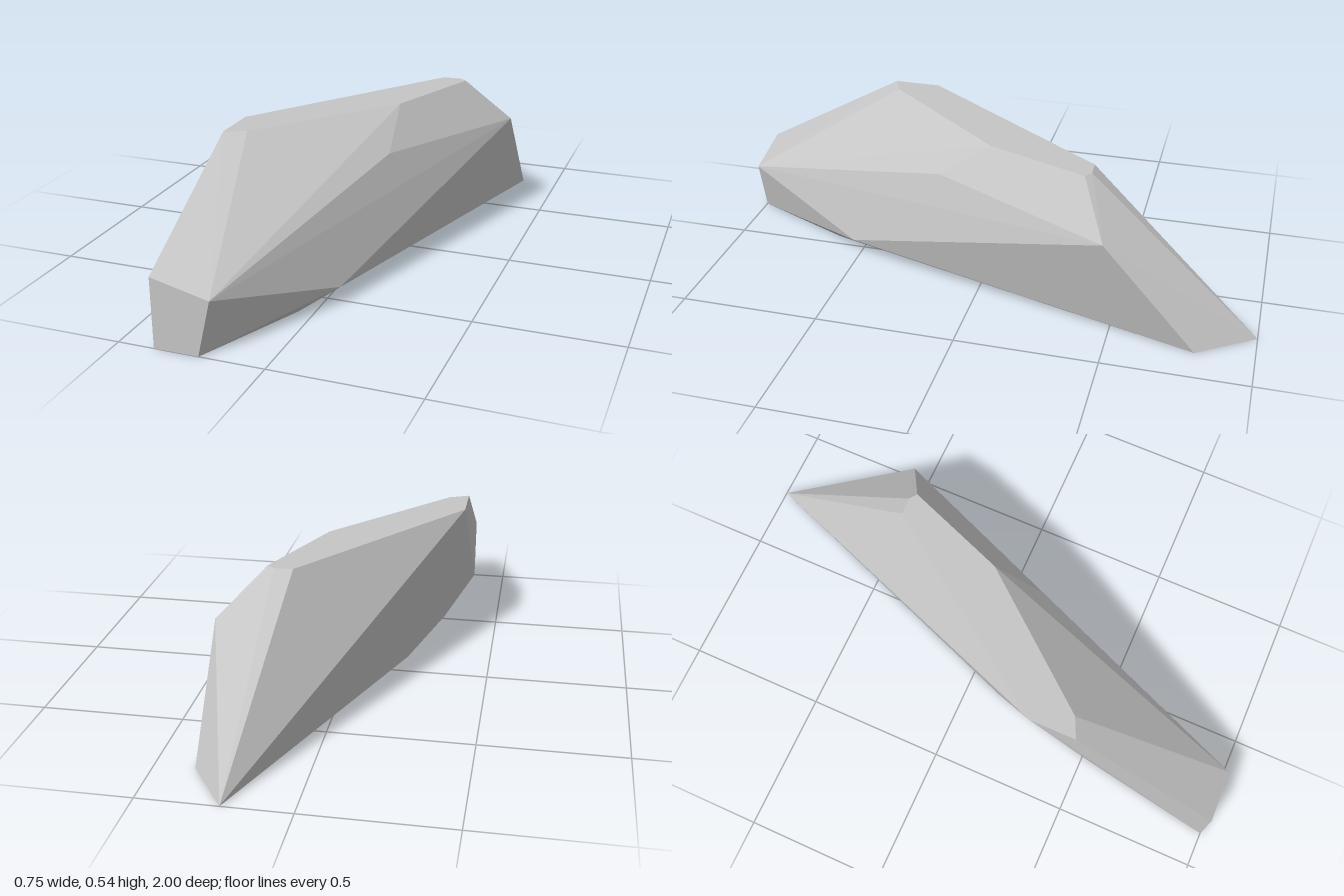
import * as THREE from 'three';
import { ConvexGeometry } from 'three/addons/geometries/ConvexGeometry.js';

export function createModel() {
  const group = new THREE.Group();
  group.name = 'rock';
  const stone = new THREE.MeshStandardMaterial({ color: 0xc5c5c5 });
  stone.name = 'light stone grey';

  const top = 0.537;
  // Outlines of the flat top and the flat base, as x, z
  const topOutline = [
    [-0.375, 0.305], [-0.375, 0.473], [-0.303, 0.44], [0.078, -0.02],
    [0.217, -0.38], [0.19, -0.4], [0.127, -0.397],
  ];
  const baseOutline = [
    [-0.375, 1], [-0.222, 1], [-0.053, 0.62], [0.365, -0.8],
    [0.23, -1], [-0.193, 0.12], [-0.29, 0.52],
  ];
  // Corners of the faceted flanks, as x, y, z
  const flank = [
    [-0.375, 0.243, 1], [-0.175, 0.195, 1],
    [0.1, 0.412, 0.16], [0.055, 0.06, 0.52], [0.375, 0.375, -0.475],
  ];

  const points = [
    ...topOutline.map(([x, z]) => new THREE.Vector3(x, top, z)),
    ...baseOutline.map(([x, z]) => new THREE.Vector3(x, 0, z)),
    ...flank.map((p) => new THREE.Vector3(...p)),
  ];

  // Faceted stone body
  const body = new THREE.Mesh(new ConvexGeometry(points), stone);
  body.name = 'rockBody';
  group.add(body);
  return group;
}
